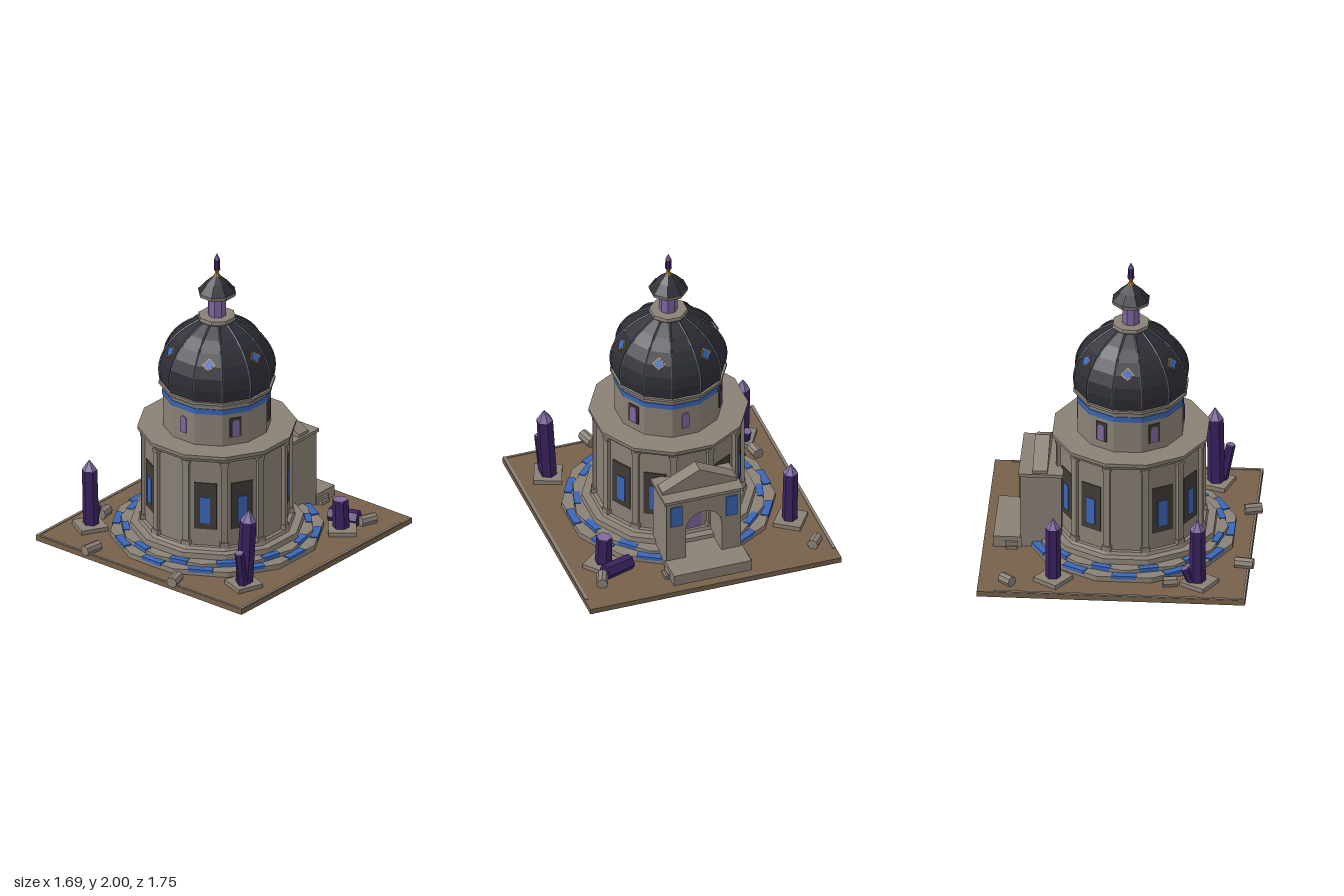
import * as THREE from 'three';

const material = (name, color) => {
  const m = new THREE.MeshStandardMaterial({ color });
  m.name = name;
  return m;
};
const stone = material('stone', 0x8a8176);
const earth = material('earth', 0x77614a);
const blue = material('blue', 0x3a66b8);
const slate = material('slate', 0x2e2e37);
const rib = material('ribGrey', 0x4a525e);
const shade = material('darkRecess', 0x403a36);
const lilac = material('lilac', 0x7d68a0);
const purple = material('purple', 0x3a2260);
const gold = material('gold', 0xb5832f);

const CZ = 0.05; // centre of the rotunda in z
const DEG = Math.PI / 180;

// Faceted normals
function flat(g) {
  const f = g.index ? g.toNonIndexed() : g;
  f.computeVertexNormals();
  return f;
}
function add(parent, name, geo, mat, x = 0, y = 0, z = 0) {
  const m = new THREE.Mesh(geo, mat);
  m.name = name;
  m.position.set(x, y, z);
  parent.add(m);
  return m;
}
const box = (w, h, d) => new THREE.BoxGeometry(w, h, d);

// Regular prism between two heights, sized by its apothem, flats facing the axes
function prism(parent, name, mat, bottom, top, y0, y1, n = 12, turn = 0) {
  const c = Math.cos(Math.PI / n);
  const g = new THREE.CylinderGeometry(top / c, bottom / c, y1 - y0, n);
  g.rotateY(Math.PI / n + turn);
  return add(parent, name, flat(g), mat, 0, (y0 + y1) / 2, 0);
}
// Holder turned to an angle, so that +z points outward
function spoke(parent, name, deg) {
  const g = new THREE.Group();
  g.name = name;
  g.rotation.y = deg * DEG;
  parent.add(g);
  return g;
}
function archShape(w, h) {
  const s = new THREE.Shape();
  s.moveTo(-w / 2, 0);
  s.lineTo(w / 2, 0);
  s.lineTo(w / 2, h - w / 2);
  s.absarc(0, h - w / 2, w / 2, 0, Math.PI, false);
  s.lineTo(-w / 2, 0);
  return s;
}
const extrude = (shape, depth) =>
  new THREE.ExtrudeGeometry(shape, { depth, bevelEnabled: false, curveSegments: 6 });

// Six-sided crystal, body dark and point pale
function crystal(parent, x, z, r, body, tip, leanX, leanZ, y = 0.06) {
  const g = new THREE.Group();
  g.name = 'crystal';
  g.position.set(x, y, z);
  g.rotation.set(leanX, 0, leanZ);
  add(g, 'crystalBody', flat(new THREE.CylinderGeometry(r * 0.95, r, body, 6)), purple, 0, body / 2, 0);
  if (tip) add(g, 'crystalTip', flat(new THREE.ConeGeometry(r * 0.95, tip, 6)), lilac, 0, body + tip / 2, 0);
  else add(g, 'brokenTop', flat(new THREE.CylinderGeometry(r * 0.9, r * 0.9, 0.006, 6)), lilac, 0, body + 0.003, 0);
  parent.add(g);
  return g;
}

function buildRotunda(root) {
  const r = new THREE.Group();
  r.name = 'rotunda';
  r.position.z = CZ;
  root.add(r);

  // Stepped base with inlaid panels
  prism(r, 'lowerStep', stone, 0.66, 0.658, 0.03, 0.07);
  prism(r, 'middleStep', stone, 0.6, 0.598, 0.07, 0.095, 12, 15 * DEG);
  prism(r, 'upperStep', stone, 0.54, 0.535, 0.095, 0.13);
  prism(r, 'plinth', stone, 0.485, 0.475, 0.13, 0.15);
  for (let i = 0; i < 12; i++) {
    add(spoke(r, 'outerInlay', i * 30), 'outerInlayPanel', box(0.157, 0.022, 0.05), blue, 0, 0.067, 0.637);
    add(spoke(r, 'innerInlay', i * 30 + 15), 'innerInlayPanel', box(0.125, 0.026, 0.042), blue, 0, 0.087, 0.582);
  }

  // Main drum, pilasters and windows
  prism(r, 'mainDrum', stone, 0.45, 0.45, 0.15, 0.77);
  prism(r, 'lowerCornice', stone, 0.462, 0.475, 0.745, 0.775);
  prism(r, 'cornice', stone, 0.49, 0.492, 0.775, 0.8);
  for (let i = 0; i < 12; i++) {
    const p = spoke(r, 'pilaster', i * 30 + 15);
    add(p, 'pilasterShaft', box(0.042, 0.6, 0.03), stone, 0, 0.44, 0.468);
    add(p, 'pilasterFoot', box(0.058, 0.035, 0.045), stone, 0, 0.165, 0.468);
    add(p, 'pilasterHead', box(0.055, 0.02, 0.04), stone, 0, 0.738, 0.468);
    if (i % 3) {
      const w = spoke(r, 'window', i * 30);
      add(w, 'windowRecess', box(0.146, 0.325, 0.008), shade, 0, 0.428, 0.452);
      add(w, 'windowGlass', box(0.064, 0.18, 0.008), blue, 0, 0.4, 0.457);
    }
  }

  // Upper drum
  prism(r, 'upperDrum', stone, 0.333, 0.333, 0.8, 1.1);
  prism(r, 'blueBand', blue, 0.338, 0.338, 1.02, 1.056);
  prism(r, 'domeLedge', stone, 0.34, 0.345, 1.075, 1.095);
  prism(r, 'domeRim', stone, 0.36, 0.36, 1.095, 1.112);
  for (let i = 0; i < 6; i++) {
    const w = spoke(r, 'archedWindow', i * 60);
    if (i % 3) add(w, 'archedWindowFrame', box(0.08, 0.135, 0.008), shade, 0, 0.922, 0.336);
    add(w, 'archedWindowGlass', extrude(archShape(0.05, 0.115), 0.007), lilac, 0, 0.86, 0.335);
  }

  // Ribbed dome
  const profile = [[0.345, 1.11], [0.357, 1.19], [0.347, 1.27], [0.316, 1.345],
    [0.268, 1.415], [0.2, 1.478], [0.11, 1.535]];
  const c12 = Math.cos(Math.PI / 12);
  const pts = profile.map(([x, y]) => new THREE.Vector2(x / c12, y));
  add(r, 'dome', flat(new THREE.LatheGeometry(pts, 12, Math.PI / 12)), slate);
  const ribCurve = new THREE.CatmullRomCurve3(pts.map(p => new THREE.Vector3(0, p.y, p.x)));
  const ribGeo = flat(new THREE.TubeGeometry(ribCurve, 12, 0.007, 4));
  for (let i = 0; i < 12; i++) add(spoke(r, 'domeRib', i * 30 + 15), 'domeRibBar', ribGeo, rib);
  for (let i = 0; i < 6; i++) {
    const d = new THREE.Group();
    d.name = 'diamondPane';
    d.position.set(0, 1.355, 0.311);
    d.rotation.x = -34 * DEG;
    spoke(r, 'domeDiamond', i * 60 + 30).add(d);
    add(d, 'diamondBorder', box(0.064, 0.064, 0.009).rotateZ(Math.PI / 4), gold);
    add(d, 'diamondGlass', box(0.052, 0.052, 0.009).rotateZ(Math.PI / 4), blue, 0, 0, 0.003);
  }

  // Lantern and finial
  prism(r, 'lanternFoot', stone, 0.1, 0.1, 1.525, 1.545, 8);
  prism(r, 'lanternBase', stone, 0.117, 0.112, 1.545, 1.567, 8);
  prism(r, 'lantern', lilac, 0.054, 0.054, 1.567, 1.715, 8);
  prism(r, 'lanternEave', stone, 0.112, 0.117, 1.712, 1.735, 8);
  prism(r, 'lanternRoofLower', slate, 0.112, 0.066, 1.735, 1.795, 8);
  prism(r, 'lanternRoofUpper', slate, 0.066, 0.014, 1.795, 1.846, 8);
  prism(r, 'finialCup', gold, 0.02, 0.01, 1.842, 1.862, 8);
  prism(r, 'finialCollar', gold, 0.008, 0.02, 1.862, 1.888, 8);
  crystal(r, 0, 0, 0.021, 0.072, 0.043, 0, 0, 1.885).name = 'finialCrystal';
}

function buildPortal(root) {
  const p = new THREE.Group();
  p.name = 'portal';
  root.add(p);
  // Body with an arched passage
  const wall = new THREE.Shape([[-0.25, 0.04], [0.25, 0.04], [0.25, 0.555], [-0.25, 0.555]]
    .map(([x, y]) => new THREE.Vector2(x, y)));
  wall.holes.push(new THREE.Path(archShape(0.24, 0.34).getPoints(8).map(q => q.add(new THREE.Vector2(0, 0.105)))));
  add(p, 'portalBody', extrude(wall, 0.265), stone, 0, 0, -0.64);
  add(p, 'portalCornice', box(0.53, 0.022, 0.285), stone, 0, 0.563, -0.508);
  const gable = new THREE.Shape([[-0.25, 0], [0.25, 0], [0.25, 0.02], [0, 0.145], [-0.25, 0.02]]
    .map(([x, y]) => new THREE.Vector2(x, y)));
  add(p, 'pediment', extrude(gable, 0.095), stone, 0, 0.573, -0.56);
  add(p, 'portalDoor', extrude(archShape(0.13, 0.25), 0.006), lilac, 0, 0.13, -0.407);
  for (const s of [-1, 1]) {
    add(p, 'banner', box(0.075, 0.15, 0.009), blue, s * 0.186, 0.45, -0.644);
  }
  // Stairs
  add(p, 'topStep', box(0.52, 0.085, 0.18), stone, 0, 0.068, -0.72);
  add(p, 'sideStep', box(0.55, 0.055, 0.08), stone, 0, 0.053, -0.695);
  add(p, 'wideStep', box(0.58, 0.03, 0.07), stone, 0, 0.04, -0.69);
}

function buildGrounds(root) {
  add(root, 'ground', box(1.69, 0.036, 1.71), earth, 0, 0.018, -0.02);
  for (const s of [-1, 1]) add(root, 'sideKerb', box(0.018, 0.014, 1.6), stone, s * 0.833, 0.034, 0.035);
  add(root, 'frontKerb', box(1.68, 0.014, 0.014), stone, 0, 0.034, 0.826);

  // Crystal pedestals: x, z, turn
  for (const [x, z, turn] of [[-0.665, -0.4, -35], [0.62, -0.45, 40], [-0.65, 0.53, -30], [0.635, 0.555, -20]]) {
    add(root, 'pedestal', box(0.18, 0.03, 0.18), stone, x, 0.05, z).rotation.y = turn * DEG;
  }
  // Standing, broken, leaning and fallen crystals
  crystal(root, -0.66, -0.4, 0.05, 0.36, 0.07, 0, 0.02);
  crystal(root, -0.65, 0.52, 0.052, 0.38, 0.07, 0, 0.03);
  crystal(root, 0.635, 0.55, 0.056, 0.44, 0.08, -0.02, -0.06);
  crystal(root, 0.655, 0.59, 0.032, 0.25, 0, 0.2, -0.05);
  crystal(root, -0.665, 0.48, 0.03, 0.1, 0, -0.4, 0);
  crystal(root, 0.61, -0.45, 0.055, 0.19, 0, 0, 0.03);
  const fallen = add(root, 'fallenCrystal', flat(new THREE.CylinderGeometry(0.05, 0.052, 0.2, 6).rotateZ(Math.PI / 2)),
    purple, 0.55, 0.08, -0.555);
  fallen.rotation.y = 17 * DEG;

  // Fallen column pieces: x, z, turn, length
  for (const [x, z, turn, len] of [[-0.415, 0.8, -8, 0.12], [0.28, 0.81, 15, 0.11], [-0.73, -0.69, -40, 0.09],
    [0.68, -0.63, -20, 0.11], [-0.685, 0.345, 10, 0.09]]) {
    const g = flat(new THREE.CylinderGeometry(0.036, 0.036, len, 8).rotateX(Math.PI / 2));
    add(root, 'columnPiece', g, stone, x, 0.066, z).rotation.y = turn * DEG;
  }
}

export function createModel() {
  const root = new THREE.Group();
  root.name = 'domedShrine';
  buildGrounds(root);
  buildRotunda(root);
  buildPortal(root);
  return root;
}
